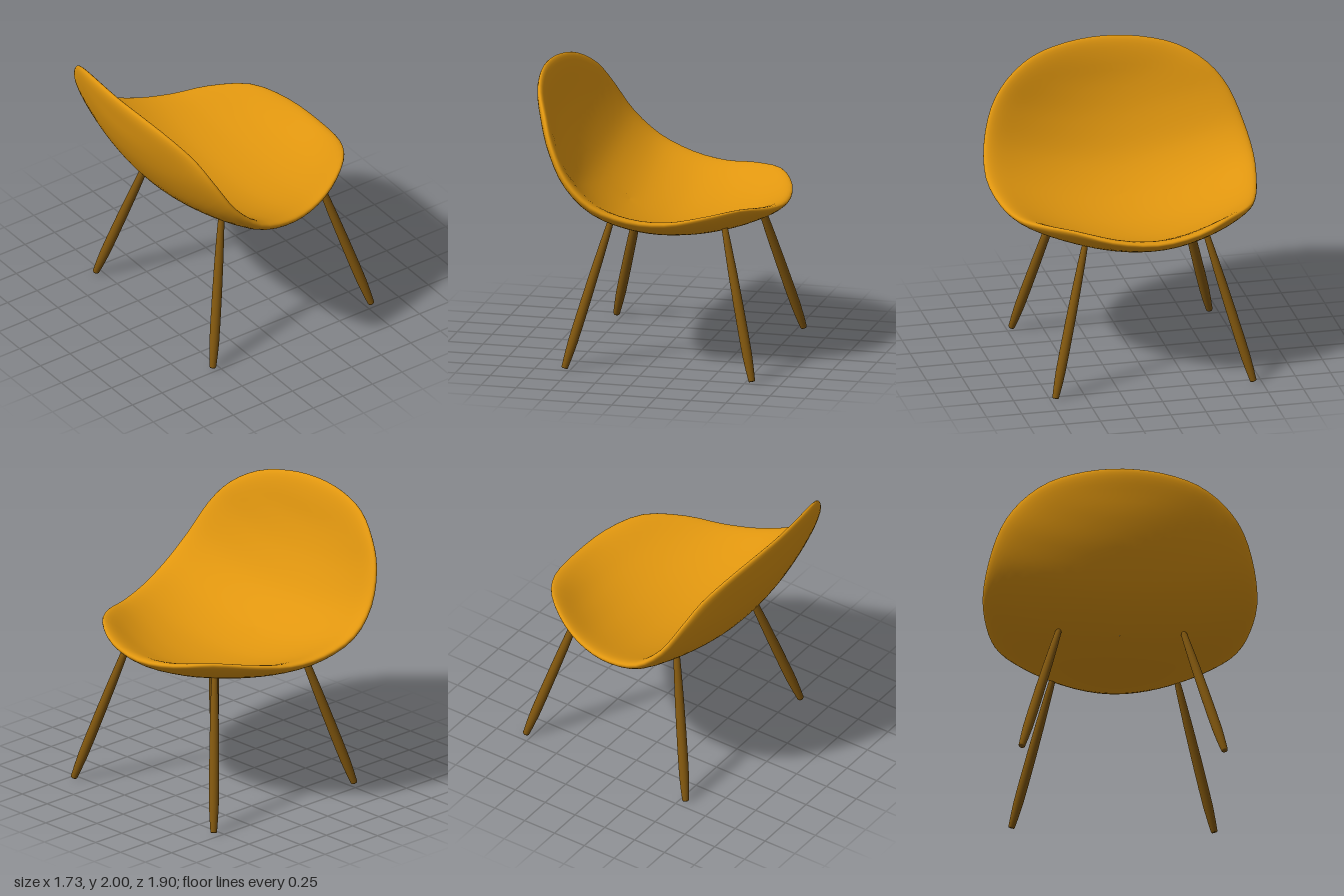
import * as THREE from 'three';

const V = (x, y, z = 0) => new THREE.Vector3(x, y, z);
const shellMaterial = new THREE.MeshStandardMaterial({ color: 0xe0960f });
const legMaterial = new THREE.MeshStandardMaterial({ color: 0x80560e });

// Closed spline that runs from the back to the front and returns mirrored in z
function mirroredLoop(points) {
  const back = points.slice(1, -1).reverse().map((p) => V(p.x, p.y, -p.z));
  return new THREE.CatmullRomCurve3([...points, ...back], true, 'catmullrom', 0.5);
}

// Half of the shell's rim, from the top of the backrest to the front edge
const rim = mirroredLoop([
  V(-0.853, 1.997, 0), V(-0.83, 1.98, 0.265), V(-0.775, 1.92, 0.515), V(-0.69, 1.802, 0.71),
  V(-0.61, 1.635, 0.842), V(-0.487, 1.418, 0.922), V(-0.30, 1.245, 0.95), V(-0.05, 1.15, 0.912),
  V(0.20, 1.125, 0.843), V(0.437, 1.157, 0.74), V(0.67, 1.185, 0.555), V(0.815, 1.142, 0.31), V(0.863, 1.108, 0),
]);

// Spine of the shell in the plane of symmetry, paired with the rim points
const spine = mirroredLoop([
  V(-0.853, 1.997), V(-0.842, 1.955), V(-0.814, 1.839), V(-0.771, 1.656),
  V(-0.68, 1.427), V(-0.525, 1.188), V(-0.281, 1.016), V(0.013, 0.935),
  V(0.30, 0.938), V(0.544, 0.985), V(0.717, 1.047), V(0.825, 1.098), V(0.863, 1.108),
]);

// Maps a unit disc (u along the seat, v across) to the dished middle surface
function shellPoint(u, v) {
  const phi = Math.acos(THREE.MathUtils.clamp(-u, -1, 1));
  const s = THREE.MathUtils.clamp(v / Math.max(Math.sin(phi), 1e-6), -1, 1);
  const r = rim.getPoint(phi / Math.PI / 2);
  const c = spine.getPoint(phi / Math.PI / 2);
  return V(c.x + (r.x - c.x) * s * s, c.y + (r.y - c.y) * s * s, r.z * s);
}

// Grid of rings that close on themselves
function ringGeometry(rings) {
  const n = rings[0].length;
  const index = [];
  for (let i = 0; i < rings.length - 1; i++) {
    for (let j = 0; j < n; j++) {
      const k = (j + 1) % n;
      const a = i * n + j, b = i * n + k, c = a + n, d = b + n;
      index.push(a, b, c, b, d, c);
    }
  }
  const geometry = new THREE.BufferGeometry().setFromPoints(rings.flat());
  geometry.setIndex(index);
  geometry.computeVertexNormals();
  return geometry;
}

// Middle surface thickened both ways, thinning to a rounded edge at the rim
function shellGeometry(thickness = 0.037, ringCount = 22, segments = 72) {
  const radii = Array.from({ length: ringCount + 1 }, (_, i) =>
    Math.sin((Math.max(i, 0.02) / ringCount) * Math.PI / 2));
  const middle = radii.map((r) => Array.from({ length: segments }, (_, j) => {
    const a = (j / segments) * Math.PI * 2;
    return shellPoint(r * Math.cos(a), r * Math.sin(a));
  }));
  const normals = ringGeometry(middle).attributes.normal;
  const offset = (side) => middle.map((ring, i) => ring.map((p, j) => {
    const h = side * thickness * Math.sqrt(Math.max(0, 1 - radii[i] ** 20));
    return p.clone().addScaledVector(V(0, 0).fromBufferAttribute(normals, i * segments + j), h);
  }));
  return ringGeometry([...offset(1), ...offset(-1).reverse().slice(1)]);
}

// Turned leg, thickest in its lower half, from foot to top
function makeLeg(name, foot, top) {
  const axis = top.clone().sub(foot);
  const length = axis.length();
  const profile = [[0, 0], [0.019, 0], [0.023, 0.006], [0.029, 0.08], [0.034, 0.17], [0.035, 0.3],
    [0.034, 0.5], [0.031, 0.7], [0.026, 0.88], [0.022, 0.98], [0.015, 0.995], [0, 1]];
  const points = profile.map(([r, t]) => new THREE.Vector2(r, t * length));
  const leg = new THREE.Mesh(new THREE.LatheGeometry(points, 20), legMaterial);
  leg.name = name;
  leg.position.copy(foot);
  leg.quaternion.setFromUnitVectors(V(0, 1, 0), axis.normalize());
  return leg;
}

export function createModel() {
  const chair = new THREE.Group();
  chair.name = 'shellChair';

  const shell = new THREE.Mesh(shellGeometry(), shellMaterial);
  shell.name = 'seatShell';
  chair.add(shell);

  // Four splayed legs
  for (const side of [1, -1]) {
    const label = side > 0 ? 'Left' : 'Right';
    const z = (d) => side * d + 0.01;
    chair.add(makeLeg('backrestLeg' + label, V(-0.545, 0.008, z(0.703)), V(-0.28, 1.027, z(0.43))));
    chair.add(makeLeg('seatEdgeLeg' + label, V(0.795, 0.008, z(0.703)), V(0.527, 1.027, z(0.43))));
  }
  return chair;
}
